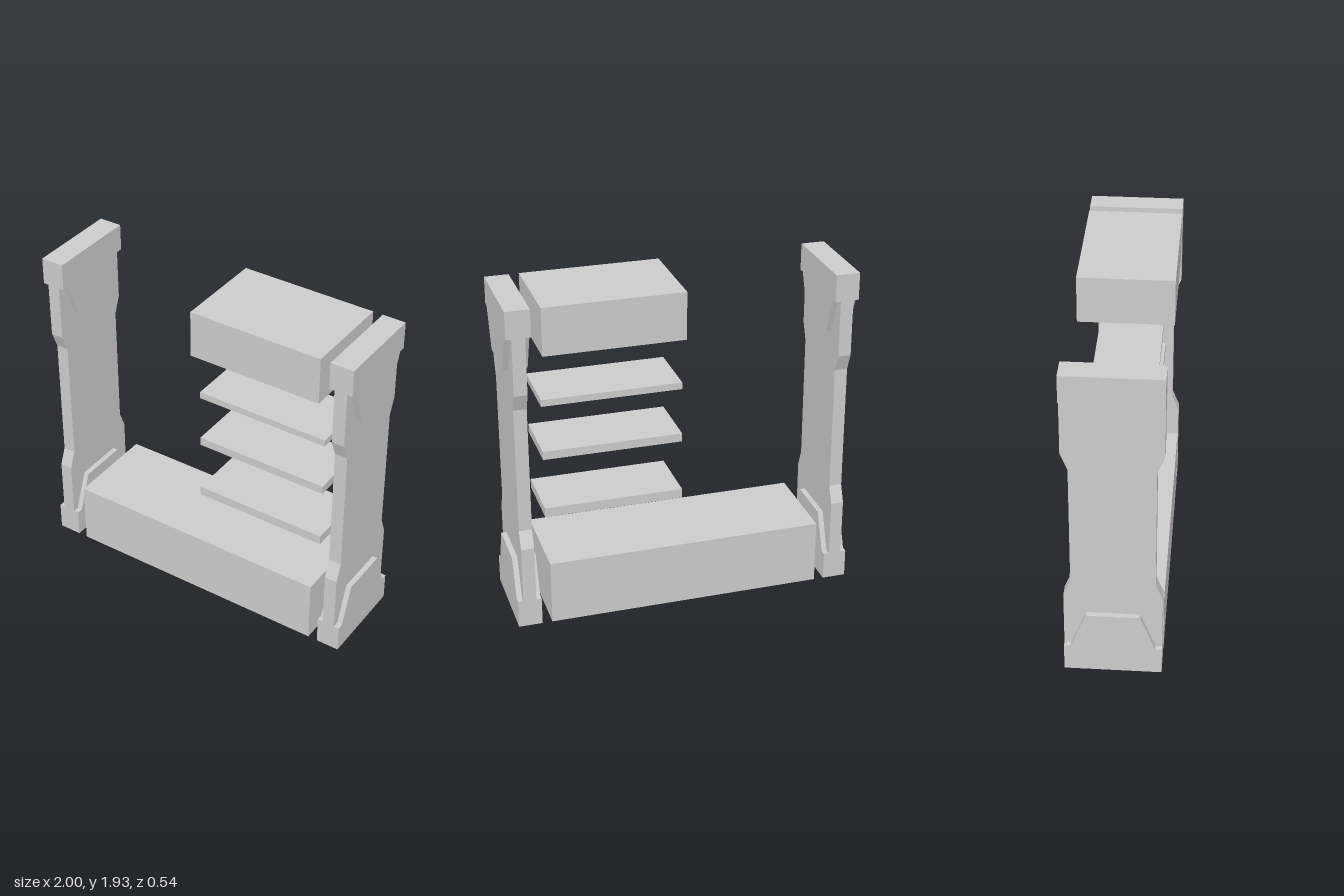
import * as THREE from 'three';

const material = new THREE.MeshStandardMaterial({ color: 0xcccccc, flatShading: true });
const HEIGHT = 1.935, DEPTH = 0.272;

// Box given by its x and y limits and half depth
function box(name, x0, x1, y0, y1, halfDepth) {
  const mesh = new THREE.Mesh(new THREE.BoxGeometry(x1 - x0, y1 - y0, halfDepth * 2), material);
  mesh.position.set((x0 + x1) / 2, (y0 + y1) / 2, 0);
  mesh.name = name;
  return mesh;
}

// Plate from half of a (z, y) outline, mirrored in z and extruded along x
function plate(name, half, thickness) {
  const outline = [...half, ...half.map(([z, y]) => [-z, y]).reverse()];
  const shape = new THREE.Shape(outline.map(([z, y]) => new THREE.Vector2(z, y)));
  const geometry = new THREE.ExtrudeGeometry(shape, { depth: thickness, bevelEnabled: false });
  geometry.translate(0, 0, -thickness / 2);
  geometry.rotateY(Math.PI / 2);
  const mesh = new THREE.Mesh(geometry, material);
  mesh.name = name;
  return mesh;
}

// Upright: thin waisted panel between two thick tapered end blocks
function upright(name, x) {
  const group = new THREE.Group();
  group.name = name;
  group.position.x = x;
  const panel = [
    [DEPTH, 0.165], [DEPTH, 0.5], [0.232, 0.6],
    [0.232, 1.345], [DEPTH, 1.445], [DEPTH, 1.775],
  ];
  const foot = [[DEPTH, 0], [DEPTH, 0.165], [0.235, 0.165], [0.15, 0.388]];
  const head = [[0.15, 1.553], [0.235, 1.775], [DEPTH, 1.775], [DEPTH, HEIGHT]];
  group.add(
    plate('uprightPanel', panel, 0.075),
    plate('footBlock', foot, 0.138),
    plate('headBlock', head, 0.138),
  );
  return group;
}

export function createModel() {
  const model = new THREE.Group();
  model.name = 'shelfUnit';

  // Side uprights
  model.add(upright('leftUpright', 0.931), upright('rightUpright', -0.931));

  // Long base and half-width top cabinet
  model.add(box('base', -0.805, 0.805, 0, 0.38, DEPTH));
  model.add(box('topCabinet', 0, 0.805, 1.657, HEIGHT, DEPTH));

  // Shelves, thinner towards the top
  [[0.64, 0.695], [1.0, 1.05], [1.325, 1.365]].forEach(([y0, y1], i) => {
    model.add(box(`shelf${i + 1}`, 0, 0.805, y0, y1, 0.187));
  });

  return model;
}
